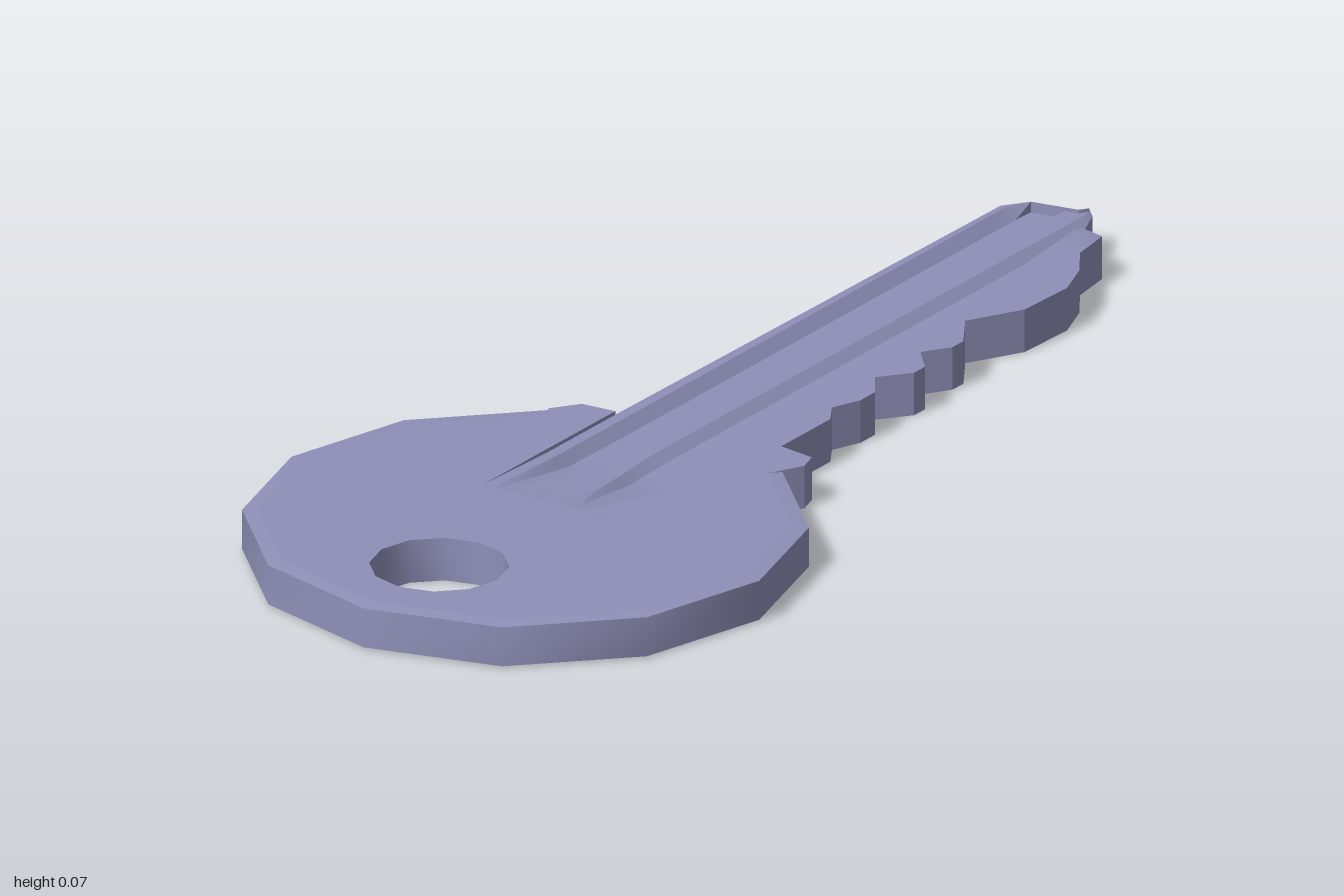
import * as THREE from 'three';
import { toCreasedNormals } from 'three/addons/utils/BufferGeometryUtils.js';

const { clamp, lerp } = THREE.MathUtils;
const T = 0.072; // key thickness
const LEFT = -0.13, RIGHT = 0.165, RUNOUT = 0.48; // slot in the head that the blade fills
const HEAD_Z = 0.55, HEAD_R = 0.445, RIM = 0.025, BEVEL = 0.003;

// Blade edges as [z, x]
const backEdge = [[-1, 0], [-0.985, -0.01], [-0.97, -0.09], [-0.93, -0.12], [0.11, LEFT], [RUNOUT, LEFT]];
const toothEdge = [
  [-1, 0], [-0.98, 0.02], [-0.93, 0.04], [-0.905, 0.09], [-0.83, 0.1], [-0.77, 0.14], [-0.7, 0.165],
  [-0.59, 0.16], [-0.5, 0.11], [-0.43, 0.155], [-0.4, 0.155], [-0.355, 0.125], [-0.31, 0.165],
  [-0.28, 0.165], [-0.23, 0.125], [-0.18, 0.16], [-0.14, 0.16], [-0.09, 0.14], [-0.05, RIGHT],
  [0.085, RIGHT], [RUNOUT, RIGHT],
];
// Slanted line where the milled flat meets the full-thickness teeth
const slant = [[-1, 0.03], [0.13, 0.14], [RUNOUT, 0.15]];

function lerpTable(table, z) {
  for (let i = 1; i < table.length; i++) {
    const [z0, x0] = table[i - 1], [z1, x1] = table[i];
    if (z <= z1) return lerp(x0, x1, (z - z0) / (z1 - z0));
  }
  return table[table.length - 1][1];
}

// Skins a row of equal closed loops of [x, y, z] points
function loft(loops, crease) {
  const n = loops[0].length;
  const index = [];
  for (let i = 0; i < loops.length - 1; i++) {
    for (let j = 0; j < n; j++) {
      const a = i * n + j, b = i * n + (j + 1) % n, c = b + n, d = a + n;
      index.push(a, d, c, a, c, b);
    }
  }
  const geo = new THREE.BufferGeometry();
  geo.setAttribute('position', new THREE.Float32BufferAttribute(loops.flat(2), 3));
  geo.setIndex(index);
  return toCreasedNormals(geo.toNonIndexed(), crease);
}

// Blade cross-section at z: points are [x, y, x at the groove's end in the head]
function section(z) {
  const xl = lerpTable(backEdge, z), xr = lerpTable(toothEdge, z), s = lerpTable(slant, z);
  const fade = clamp((RUNOUT - z) / 0.18, 0, 1);
  const squeeze = clamp((z - 0.15) / (RUNOUT - 0.15), 0, 1) ** 2;
  const teeth = z < -0.92 ? 0.008 : 0; // the tip is thinner than the toothed strip
  const top = [
    [xl, 0.066, xl], [-0.11, 0.066, -0.11], [-0.092, 0.048, -0.105], [-0.045, 0.048, -0.1],
    [-0.035, 0.06, -0.095], [0.002, 0.06, 0.04], [0.02, 0.046, 0.045], [s - 0.01, 0.05, 0.05],
    [s, T - teeth, 0.055], [xr, T - teeth, xr],
  ];
  const bottom = [
    [xr, teeth, xr], [s, teeth, 0.055], [s - 0.012, 0.022, 0.05], [0.016, 0.026, 0.045], [0, 0.008, 0.04],
    [-0.02, 0.01, -0.095], [-0.035, 0.028, -0.1], [-0.07, 0.028, -0.105], [-0.085, 0.008, -0.11],
    [xl, 0.008, xl],
  ];
  const place = (flat) => ([x, y, end]) => [clamp(lerp(x, end, squeeze), xl, xr), lerp(flat, y, fade), z];
  return [...top.map(place(T)), ...bottom.map(place(0))];
}

function bladeGeometry() {
  const headZs = [0.13, 0.2, 0.25, 0.3, 0.34, 0.38, 0.42, 0.45];
  const zs = [...backEdge, ...toothEdge].map(([z]) => z).concat(headZs);
  const stations = [...new Set(zs)].sort((a, b) => a - b);
  return loft(stations.map(section), 0.35);
}

// Corners of the twelve-sided head as [x, z], from the left shoulder round the front to the right one
function headCorners(r) {
  const corners = [];
  for (let k = 1; k <= 11; k++) {
    const a = k * Math.PI / 6;
    corners.push([-r * Math.sin(a), HEAD_Z - r * Math.cos(a)]);
  }
  return corners;
}

// Head plate with shoulders, key-ring hole and the slot for the blade
function headGeometry() {
  const outer = headCorners(HEAD_R);
  const pts = [
    [LEFT, RUNOUT], [LEFT, 0.115], [-0.19, 0.12], outer[0],
    ...headCorners(HEAD_R - RIM),
    outer[10], [0.24, 0.13], [0.23, 0.095], [RIGHT, 0.085], [RIGHT, RUNOUT],
  ];
  const shape = new THREE.Shape(pts.map(([x, z]) => new THREE.Vector2(x, -z)));

  const hole = [];
  for (let k = 0; k < 12; k++) {
    const a = k * Math.PI / 6;
    hole.push(new THREE.Vector2(0.11 * Math.cos(a), -0.787 + 0.11 * Math.sin(a)));
  }
  shape.holes.push(new THREE.Path(hole));

  const geo = new THREE.ExtrudeGeometry(shape, { depth: T, bevelEnabled: false });
  geo.rotateX(-Math.PI / 2);
  return toCreasedNormals(geo, 0.6);
}

// Slightly bevelled band round the head plate
function rimGeometry() {
  const inner = headCorners(HEAD_R - RIM);
  const loops = headCorners(HEAD_R).map(([x, z], i) => {
    const [ix, iz] = inner[i];
    return [[x, T - BEVEL, z], [ix, T, iz], [ix, 0, iz], [x, BEVEL, z]];
  });
  return loft(loops, 0.6);
}

export function createModel() {
  const key = new THREE.Group();
  key.name = 'key';
  const metal = new THREE.MeshStandardMaterial({ color: 0x9090b9 });
  const add = (name, geometry) => {
    const mesh = new THREE.Mesh(geometry, metal);
    mesh.name = name;
    key.add(mesh);
  };
  add('head', headGeometry());
  add('headRim', rimGeometry());
  add('blade', bladeGeometry());
  return key;
}
